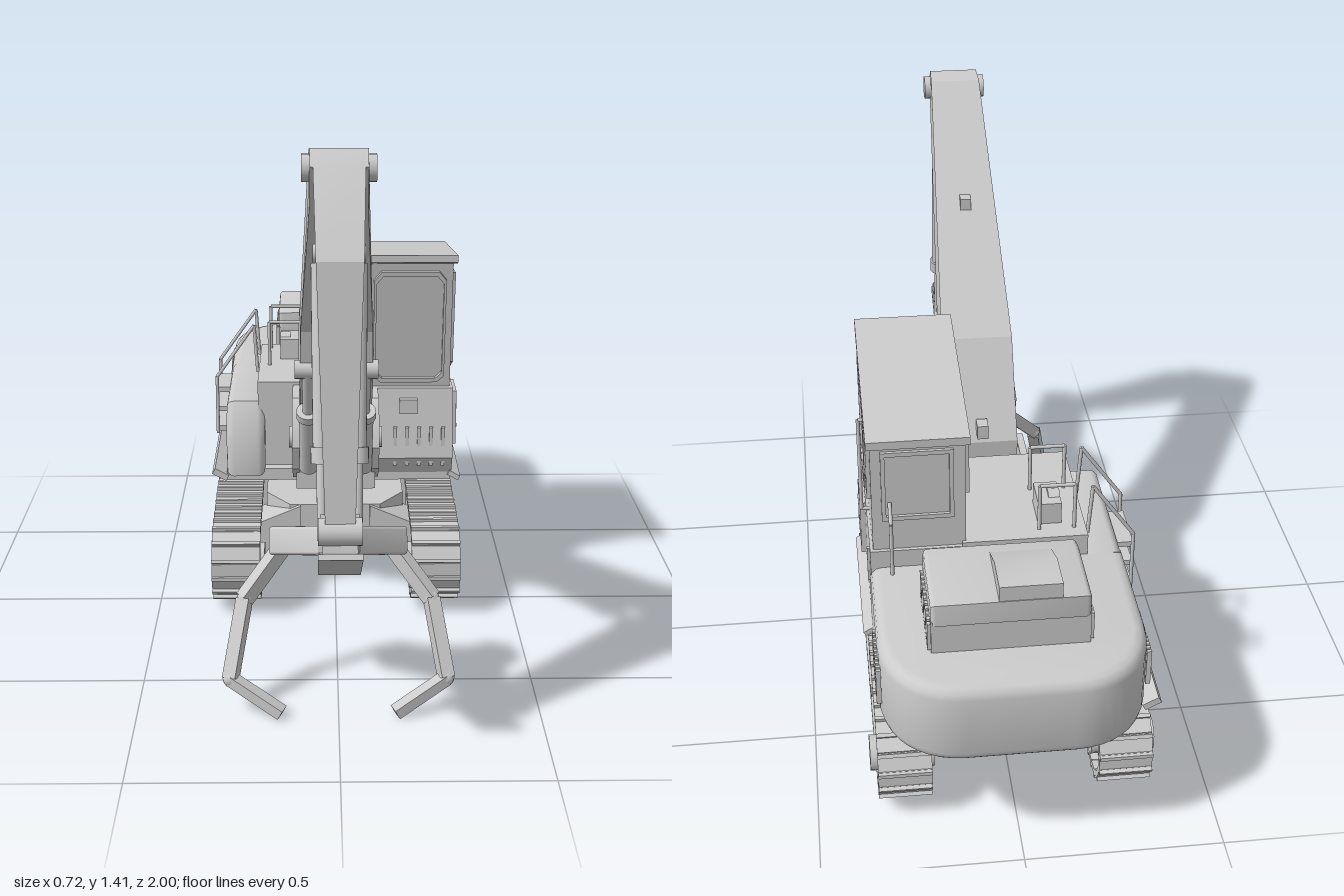
import * as THREE from 'three';
import { toCreasedNormals } from 'three/addons/utils/BufferGeometryUtils.js';

const V = (x, y, z) => new THREE.Vector3(x, y, z);
const toShape = p => (Array.isArray(p) ? new THREE.Shape(p.map(([a, b]) => new THREE.Vector2(a, b))) : p);

export function createModel() {
  const root = new THREE.Group();
  const grey = new THREE.MeshStandardMaterial({ color: 0xcccccc, side: THREE.DoubleSide });
  const add = (name, geo, parent = root) => {
    const m = new THREE.Mesh(geo, grey);
    m.name = name;
    parent.add(m);
    return m;
  };
  const extrude = (p, depth, b = 0) => {
    const g = new THREE.ExtrudeGeometry(toShape(p), {
      depth: depth - 2 * b, bevelEnabled: b > 0, bevelSize: b, bevelThickness: b,
      bevelOffset: -b, bevelSegments: 3, curveSegments: 10 });
    return toCreasedNormals(g.translate(0, 0, b), 0.6);
  };
  // Profile in (z, y), spanning x0..x1
  const side = (name, p, x0, x1, b = 0, parent = root) =>
    add(name, extrude(p, x1 - x0, b).rotateY(-Math.PI / 2).translate(x1, 0, 0), parent);
  // Outline in (x, -z), rising from y0 to y1
  const plan = (name, p, y0, y1, b = 0, parent = root) =>
    add(name, extrude(p, y1 - y0, b).rotateX(-Math.PI / 2).translate(0, y0, 0), parent);
  const box = (name, x0, x1, y0, y1, z0, z1, parent = root) =>
    add(name, new THREE.BoxGeometry(x1 - x0, y1 - y0, z1 - z0)
      .translate((x0 + x1) / 2, (y0 + y1) / 2, (z0 + z1) / 2), parent);
  // Square bar between two points
  const beam = (name, a, b, w, h, parent = root) => {
    const m = add(name, new THREE.BoxGeometry(w, h, a.distanceTo(b)), parent);
    m.position.copy(a).lerp(b, 0.5);
    m.lookAt(b);
    return m;
  };
  // Round bar between two points
  const rod = (name, a, b, r, parent = root) => {
    const m = add(name, new THREE.CylinderGeometry(r, r, a.distanceTo(b), 14), parent);
    m.position.copy(a).lerp(b, 0.5);
    m.quaternion.setFromUnitVectors(V(0, 1, 0), b.clone().sub(a).normalize());
    return m;
  };
  const pin = (name, x0, x1, y, z, r, parent = root) => rod(name, V(x0, y, z), V(x1, y, z), r, parent);
  const rail = (name, pts) => pts.slice(1).forEach((p, i) => rod(name, V(...pts[i]), V(...p), 0.005));
  const ram = (name, a, b, r, split) => {
    const mid = a.clone().lerp(b, split);
    rod(name + 'Barrel', a, mid, r);
    rod(name + 'Collar', a.clone().lerp(b, split - 0.06), mid, r * 1.25);
    rod(name + 'Rod', mid, b, r * 0.6);
  };
  // Outline with an inner copy cut out
  const frame = (p, k) => {
    const c = p.reduce((s, q) => [s[0] + q[0] / p.length, s[1] + q[1] / p.length], [0, 0]);
    const s = toShape(p);
    s.holes.push(toShape(p.map(q => [c[0] + (q[0] - c[0]) * k, c[1] + (q[1] - c[1]) * k])));
    return s;
  };

  // Crawler tracks
  const loop = new THREE.Path();
  loop.moveTo(-0.16, 0.275);
  loop.absarc(0.03, 0.145, 0.095, 1.4, -Math.PI / 2, true);
  loop.absarc(-0.73, 0.145, 0.095, -Math.PI / 2, -Math.PI - 1.4, true);
  loop.lineTo(-0.55, 0.275);
  loop.closePath();
  const count = 48, step = loop.getLength() / count;
  for (const s of [-1, 1]) {
    const t = new THREE.Group();
    t.name = s > 0 ? 'leftTrack' : 'rightTrack';
    root.add(t);
    for (let i = 0; i < count; i++) {
      const p = loop.getPointAt(i / count), d = loop.getTangentAt(i / count);
      const shoe = add('trackShoe', new THREE.BoxGeometry(0.135, 0.016, step * 1.06), t);
      const bar = add('grouser', new THREE.BoxGeometry(0.135, 0.012, 0.01).translate(0, 0.012, step * 0.4), shoe);
      shoe.position.set(s * 0.278, p.y, p.x);
      shoe.rotation.x = Math.atan2(-d.y, d.x);
      bar.name = 'grouser';
    }
    const X = (a, b) => (s > 0 ? [a, b] : [-b, -a]);
    side('trackFrame', [[-0.05, 0.09], [-0.05, 0.2], [-0.2, 0.25], [-0.52, 0.25], [-0.65, 0.2], [-0.65, 0.09]], ...X(0.225, 0.325), 0, t);
    box('frameSidePlate', ...X(0.32, 0.34), 0.1, 0.2, -0.65, -0.06, t);
    box('idlerYoke', ...X(0.3, 0.35), 0.09, 0.2, -0.06, 0.05, t);
    for (const z of [0.03, -0.73]) {
      pin('trackWheel', ...X(0.23, 0.33), 0.145, z, 0.082, t);
      pin('wheelHub', ...X(0.2, z < 0 ? 0.362 : 0.345), 0.145, z, 0.045, t);
    }
    for (let i = 0; i < 8; i++) pin('lowerRoller', ...X(0.23, 0.33), 0.082, -0.06 - i * 0.083, 0.026, t);
    for (const z of [-0.23, -0.46]) pin('upperRoller', ...X(0.22, 0.345), 0.235, z, 0.025, t);
    for (const z of [-0.2, -0.49]) pin('framePlug', ...X(0.33, 0.346), 0.14, z, 0.016, t);
    // Sloping legs joining the carbody to the track frame
    for (const z of [-0.15, -0.53]) {
      const leg = extrude([[0.1, 0.14], [0.23, 0.09], [0.23, 0.2], [0.1, 0.255]].map(q => [s * q[0], q[1]]), 0.13);
      add('carbodyLeg', leg.translate(0, 0, z - 0.065), t);
    }
  }
  plan('carbody', [[-0.13, 0.1], [0.13, 0.1], [0.2, 0.2], [0.2, 0.48], [0.13, 0.6], [-0.13, 0.6], [-0.2, 0.48], [-0.2, 0.2]], 0.14, 0.255);
  rod('slewRing', V(0, 0.25, -0.35), V(0, 0.31, -0.35), 0.125);
  rod('slewCollar', V(0, 0.305, -0.35), V(0, 0.35, -0.35), 0.155);

  // Upper structure
  const rear = new THREE.Shape();
  rear.moveTo(-0.315, 0.48);
  rear.lineTo(0.335, 0.48);
  rear.lineTo(0.335, 0.78);
  rear.bezierCurveTo(0.335, 0.92, 0.25, 1, 0.14, 1);
  rear.lineTo(-0.12, 1);
  rear.bezierCurveTo(-0.23, 1, -0.315, 0.92, -0.315, 0.78);
  plan('counterweight', rear, 0.34, 0.56, 0.03);
  box('deck', -0.31, 0.33, 0.335, 0.37, -0.55, -0.09);
  box('centreHousing', -0.22, 0.1, 0.35, 0.62, -0.51, -0.12);
  side('rightTank', [[-0.08, 0.35], [-0.08, 0.47], [-0.13, 0.56], [-0.51, 0.56], [-0.51, 0.35]], -0.31, -0.2, 0.02);
  beam('rightSkirt', V(-0.328, 0.355, -0.08), V(-0.328, 0.355, -0.86), 0.045, 0.018).rotateZ(0.5);
  beam('leftSkirt', V(0.34, 0.35, -0.08), V(0.34, 0.35, -0.5), 0.035, 0.014).rotateZ(0.5);
  box('hood', -0.17, 0.21, 0.55, 0.65, -0.855, -0.625);
  side('hoodLid', [[-0.62, 0.64], [-0.62, 0.69], [-0.66, 0.7], [-0.858, 0.7], [-0.858, 0.64]], -0.17, 0.21, 0.012);
  side('hoodCap', [[-0.64, 0.69], [-0.76, 0.74], [-0.856, 0.74], [-0.856, 0.69]], -0.1, 0.05);
  for (let i = 0; i < 11; i++) {
    const z = -0.695 - i * 0.0148;
    box('leftVentSlat', 0.33, 0.342, 0.41, 0.51, z - 0.005, z + 0.004);
    box('rightVentSlat', -0.322, -0.31, 0.41, 0.51, z - 0.005, z + 0.004);
    box('hoodSlat', -0.178, 0.218, 0.565, 0.64, -0.642 - i * 0.02 - 0.006, -0.642 - i * 0.02 + 0.006);
  }
  // Access steps and handrails
  for (const y of [0.41, 0.47, 0.53]) box('accessStep', -0.35, -0.3, y, y + 0.015, -0.45, -0.31);
  for (const z of [-0.29, -0.47]) {
    rail('stepRail', [[-0.345, 0.41, z], [-0.345, 0.585, z], [-0.235, 0.74, z], [-0.225, 0.6, z]]);
    rail('deckRail', [[-0.19, 0.61, z], [-0.19, 0.75, z], [-0.1, 0.75, z], [-0.1, 0.61, z]]);
  }
  rail('cabRearRail', [[0.28, 0.55, -0.54], [0.28, 0.71, -0.54], [0.28, 0.75, -0.5]]);
  rail('cabGrabRail', [[0.325, 0.62, -0.33], [0.345, 0.62, -0.33], [0.345, 0.89, -0.33], [0.325, 0.89, -0.33]]);
  pin('exhaustStub', -0.16, -0.13, 0.66, -0.4, 0.03);
  box('rightToolBox', -0.16, -0.1, 0.6, 0.68, -0.45, -0.35);

  // Cab base and cab
  side('cabBase', [[-0.1, 0.34], [-0.06, 0.41], [-0.08, 0.54], [-0.09, 0.61], [-0.51, 0.61], [-0.51, 0.34]], 0.1, 0.333);
  side('cab', [[-0.11, 0.6], [-0.05, 0.99], [-0.5, 0.935], [-0.5, 0.6]], 0.09, 0.325);
  side('cabRoof', [[-0.02, 0.99], [-0.02, 1.01], [-0.52, 0.94], [-0.52, 0.918], [-0.05, 0.98]], 0.08, 0.335);
  const panes = [[[-0.09, 0.945], [-0.32, 0.92], [-0.31, 0.665], [-0.22, 0.635], [-0.135, 0.675]],
    [[-0.35, 0.91], [-0.485, 0.905], [-0.485, 0.755], [-0.35, 0.77]]];
  for (const p of panes) {
    side('leftWindowFrame', frame(p, 0.87), 0.324, 0.335);
    side('rightWindowFrame', frame(p, 0.87), 0.08, 0.091);
  }
  const w = [[-0.08, -0.17], [0.08, -0.17], [0.1, -0.15], [0.1, 0.14], [0.08, 0.165], [-0.08, 0.165], [-0.1, 0.14], [-0.1, -0.15]];
  const front = add('windscreenFrame', extrude(frame(w, 0.93), 0.012));
  front.position.set(0.207, 0.795, -0.081);
  front.rotation.x = 0.155;
  add('rearWindowFrame', extrude(frame([[0.12, 0.7], [0.3, 0.7], [0.3, 0.9], [0.12, 0.9]], 0.88), 0.01).translate(0, 0, -0.508));
  for (let i = 0; i < 5; i++) beam('frontGrilleBar', V(0.17 + i * 0.034, 0.385, -0.073), V(0.17 + i * 0.034, 0.5, -0.07), 0.01, 0.012);
  box('headlight', 0.182, 0.232, 0.54, 0.582, -0.09, -0.068);
  side('cabStepFrame', frame([[-0.14, 0.425], [-0.255, 0.425], [-0.255, 0.585], [-0.14, 0.585]], 0.86), 0.33, 0.348);
  for (const y of [0.475, 0.53]) box('cabStep', 0.33, 0.35, y, y + 0.01, -0.25, -0.145);
  box('doorHandle', 0.33, 0.34, 0.5, 0.6, -0.48, -0.472);

  // Boom with its foot brackets
  const foot = [[-0.13, 0.35], [-0.02, 0.37], [0.05, 0.42], [0.075, 0.49], [0.05, 0.57], [0, 0.61], [-0.13, 0.61]];
  for (const s of [-1, 1]) side('boomFootBracket', foot, s * 0.11 - 0.01, s * 0.11 + 0.01);
  box('boomFootBase', -0.11, 0.11, 0.35, 0.42, -0.13, 0.02);
  pin('boomFootPin', -0.13, 0.13, 0.49, -0.02, 0.03);
  const boomSides = [[0.74, 1.385], [0.7, 1.42], [0.64, 1.41], [0.075, 0.88], [-0.065, 0.63], [-0.06, 0.48], [0.01, 0.46],
    [0.12, 0.63], [0.2, 0.72], [0.225, 0.75], [0.25, 0.87], [0.46, 1.08], [0.66, 1.28]];
  const boom = extrude(boomSides, 0.2).rotateY(-Math.PI / 2).translate(0.1, 0, 0);
  const bp = boom.attributes.position;
  for (let i = 0; i < bp.count; i++)
    bp.setX(i, bp.getX(i) * THREE.MathUtils.mapLinear(THREE.MathUtils.clamp(bp.getZ(i), 0.2, 0.68), 0.2, 0.68, 0.97, 0.66));
  add('boom', toCreasedNormals(boom, 0.3));
  pin('boomTipPin', -0.085, 0.085, 1.375, 0.69, 0.032);
  for (const [z, y] of [[0.37, 1.15], [-0.06, 0.67]]) box('boomLug', -0.015, 0.015, y - 0.02, y + 0.02, z - 0.02, z + 0.02);
  for (const s of [-1, 1]) {
    ram('boomRam', V(s * 0.075, 0.42, 0.04), V(s * 0.075, 0.76, 0.23), 0.026, 0.6);
    pin('boomRamPin', s * 0.075 - 0.035, s * 0.075 + 0.035, 0.76, 0.22, 0.025);
  }

  // Stick and its rams
  const stick = extrude([[0.74, 1.385], [0.7, 1.42], [0.66, 1.37], [0.7, 1.18], [0.79, 0.95], [0.875, 0.61], [0.9, 0.58], [0.935, 0.6], [0.868, 1.2]], 0.12)
    .rotateY(-Math.PI / 2).translate(0.06, 0, 0);
  const sp = stick.attributes.position;
  for (let i = 0; i < sp.count; i++)
    sp.setX(i, sp.getX(i) * THREE.MathUtils.mapLinear(sp.getY(i), 0.58, 1.42, 0.55, 1));
  add('stick', toCreasedNormals(stick, 0.3));
  ram('stickRam', V(0, 0.86, 0.25), V(0, 1.18, 0.69), 0.027, 0.75);
  pin('stickRamPin', -0.06, 0.06, 1.18, 0.7, 0.022);
  for (const s of [-1, 1]) ram('grappleRam', V(s * 0.045, 1.16, 0.71), V(s * 0.04, 0.55, 0.87), 0.02, 0.72);

  // Grapple head, heel plate and tongs
  beam('heelPlate', V(0, 0.565, 1), V(0, 0.435, 0.785), 0.1, 0.014);
  pin('grapplePin', -0.05, 0.05, 0.59, 0.915, 0.032);
  const half = [[0.04, -0.01], [0.05, 0.25], [0.17, 0.36], [0.17, 0.45], [0.12, 0.485], [0.05, 0.44]];
  const head = plan('grappleHead', [...half, ...half.map(([x, y]) => [-x, y]).reverse()], -0.035, 0.035, 0.008);
  head.position.set(0, 0.57, 0.92);
  head.rotation.x = -0.395;
  beam('headSpine', V(0, 0.59, 0.89), V(0, 0.46, 0.56), 0.09, 0.06);
  for (const s of [-1, 1]) {
    const p = [[0.13, 0.385], [0.235, 0.26], [0.268, 0.09], [0.14, 0.018]]
      .map(([x, y]) => V(s * x, y, 0.48 + (0.385 - y) * 0.587));
    p.slice(1).forEach((q, i) => beam(i < 2 ? 'tong' : 'tongTip', p[i], q, 0.034, i < 2 ? 0.036 : 0.026));
    p.slice(1, 3).forEach(q => add('tongElbow', new THREE.SphereGeometry(0.02, 10, 8)).position.copy(q));
    pin('tongPivot', s * 0.13 - 0.03, s * 0.13 + 0.03, 0.385, 0.5, 0.026);
  }
  return root;
}
